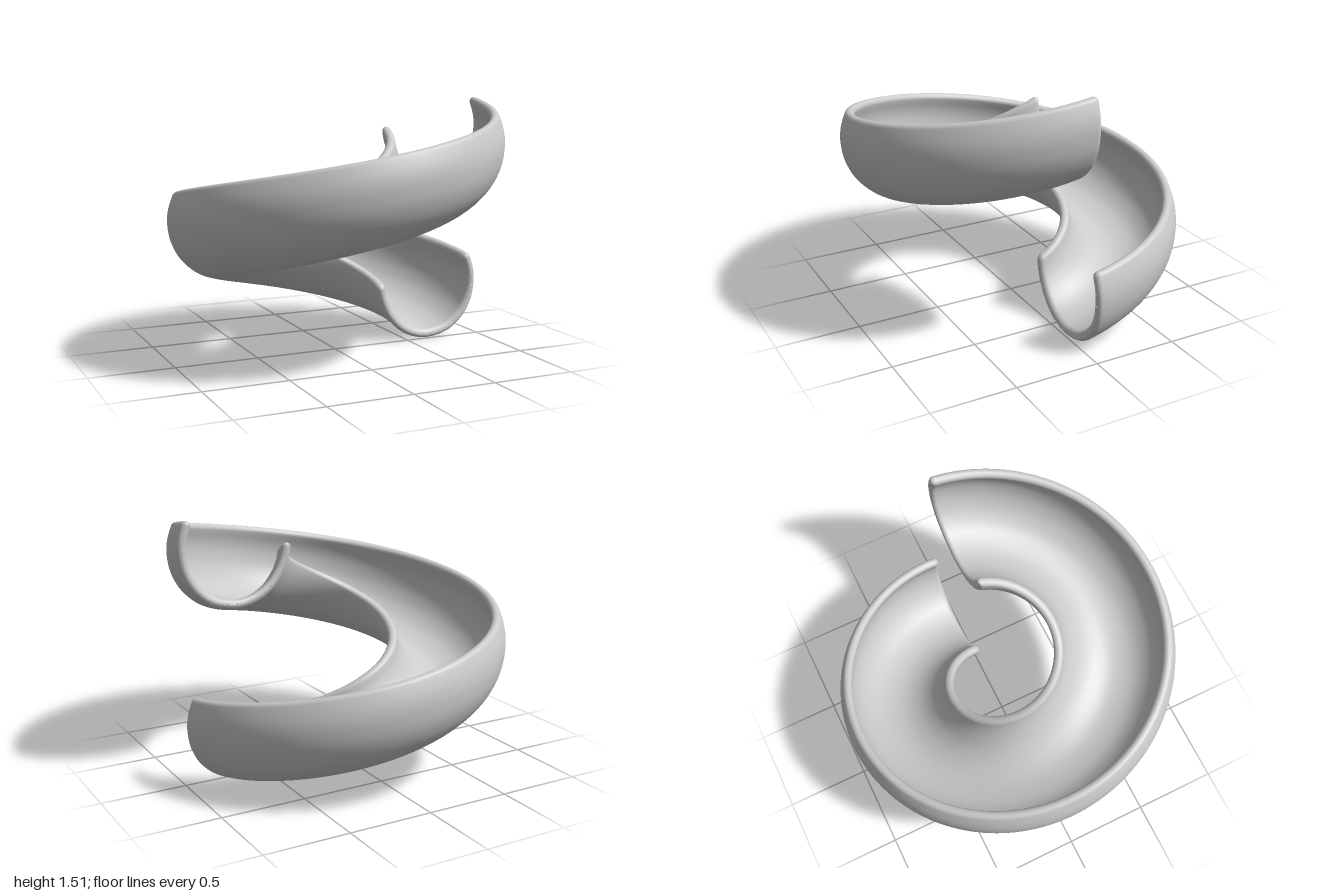
import * as THREE from 'three';

const HALF = 0.028;   // half thickness of the shell
const RISE = 1.0;     // climb over one full turn
const GAP = 0.006;    // half gap between the two ends seen from above

// Centre line of the trough as (radius, height), from inner lip to outer lip
const profile = new THREE.SplineCurve([
  [0.327, 0.335], [0.338, 0.28], [0.372, 0.2], [0.435, 0.115], [0.53, 0.052], [0.65, 0.028],
  [0.79, 0.06], [0.89, 0.14], [0.945, 0.24], [0.963, 0.34], [0.957, 0.42], [0.932, 0.497],
].map(([r, y]) => new THREE.Vector2(r, y)));

// Closed outline of the shell with half thickness t and rounded lips
function outline(t, segs = 48, capSegs = 8) {
  const pts = [];
  const add = (v, along, across) => {
    const p = profile.getPointAt(v), d = profile.getTangentAt(v);
    pts.push([p.x + t * (d.x * along - d.y * across), p.y + t * (d.y * along + d.x * across)]);
  };
  for (let i = 0; i <= segs; i++) add(i / segs, 0, -1);             // underside
  for (let i = 1; i < capSegs; i++) {                               // outer lip
    const a = Math.PI * i / capSegs;
    add(1, Math.sin(a), -Math.cos(a));
  }
  for (let i = segs; i >= 0; i--) add(i / segs, 0, 1);              // sliding surface
  for (let i = 1; i < capSegs; i++) {                               // inner lip
    const a = Math.PI * i / capSegs;
    add(0, -Math.sin(a), Math.cos(a));
  }
  return pts;
}

export function createModel() {
  // Stations: rounded lower end, one full turn, rounded upper end
  const stations = [], END = 7, TURN = 180;
  const endStation = (i, u) => {
    const a = (Math.PI / 2) * i / END;
    stations.push({ u, d: HALF * (1 - Math.cos(a)), t: Math.max(HALF * Math.sin(a), 0.0005) });
  };
  for (let i = 0; i < END; i++) endStation(i, 0);
  for (let i = 0; i <= TURN; i++) stations.push({ u: i / TURN, d: HALF, t: HALF });
  for (let i = END - 1; i >= 0; i--) endStation(i, 1);

  const pos = [], index = [];
  let n = 0;
  stations.forEach(({ u, d, t }, s) => {
    const ring = outline(t);
    n = ring.length;
    ring.forEach(([r, y], k) => {
      const inset = (d + GAP) / r;                                  // keeps both ends flat
      const ang = THREE.MathUtils.lerp(inset, 2 * Math.PI - inset, u);
      pos.push(r * Math.cos(ang), y + RISE * ang / (2 * Math.PI), -r * Math.sin(ang));
      if (s + 1 < stations.length) {
        const a = s * n + k, b = s * n + (k + 1) % n;
        index.push(a, a + n, b, b, a + n, b + n);
      }
    });
  });

  const geo = new THREE.BufferGeometry();
  geo.setAttribute('position', new THREE.Float32BufferAttribute(pos, 3));
  geo.setIndex(index);
  geo.computeVertexNormals();

  const slide = new THREE.Mesh(geo, new THREE.MeshStandardMaterial({ color: 0xcccccc }));
  slide.name = 'spiralSlide';
  const group = new THREE.Group();
  group.name = 'slide';
  group.add(slide);
  return group;
}
